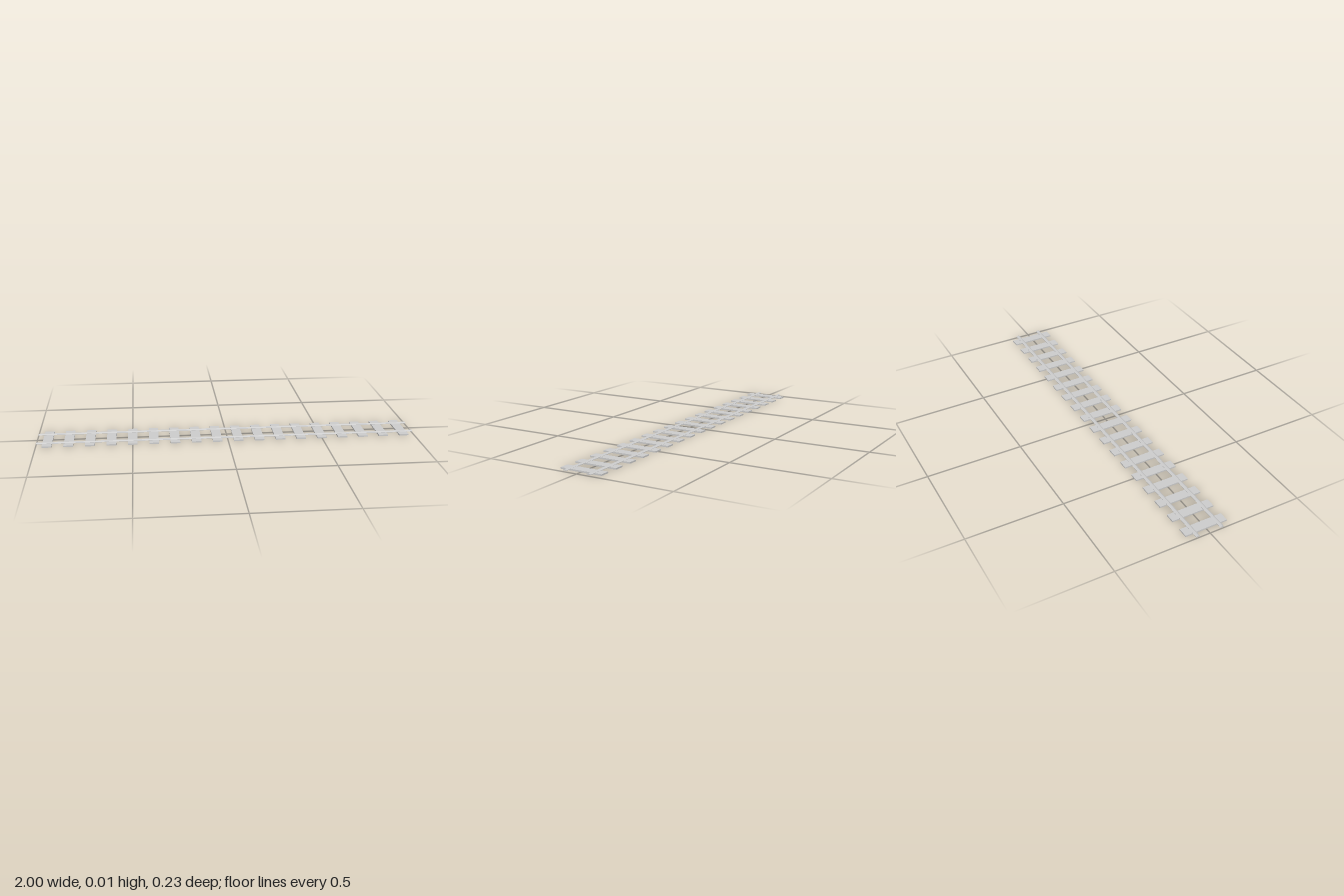
import * as THREE from 'three';

const SLEEPERS = 18, SPACING = 0.111;

export function createModel() {
  const track = new THREE.Group();
  track.name = 'railwayTrack';
  const material = new THREE.MeshStandardMaterial({ color: 0xcccccc, flatShading: true });

  // Flat sleepers, evenly spaced along x
  const sleeperGeometry = new THREE.BoxGeometry(0.05, 0.0075, 0.227);
  for (let i = 0; i < SLEEPERS; i++) {
    const sleeper = new THREE.Mesh(sleeperGeometry, material);
    sleeper.name = 'sleeper';
    sleeper.position.set((i - (SLEEPERS - 1) / 2) * SPACING, 0.00375, 0);
    track.add(sleeper);
  }

  // Rail section: wide foot tapering to a narrow crown
  const section = new THREE.Shape([
    [-0.01, 0.006], [0.01, 0.006], [0.01, 0.0083],
    [0.003, 0.0125], [-0.003, 0.0125], [-0.01, 0.0083],
  ].map(([x, y]) => new THREE.Vector2(x, y)));
  const railGeometry = new THREE.ExtrudeGeometry(section, { depth: 2, bevelEnabled: false });
  railGeometry.translate(0, 0, -1).rotateY(Math.PI / 2);
  for (const side of [-1, 1]) {
    const rail = new THREE.Mesh(railGeometry, material);
    rail.name = side > 0 ? 'frontRail' : 'backRail';
    rail.position.z = side * 0.066;
    track.add(rail);
  }
  return track;
}
